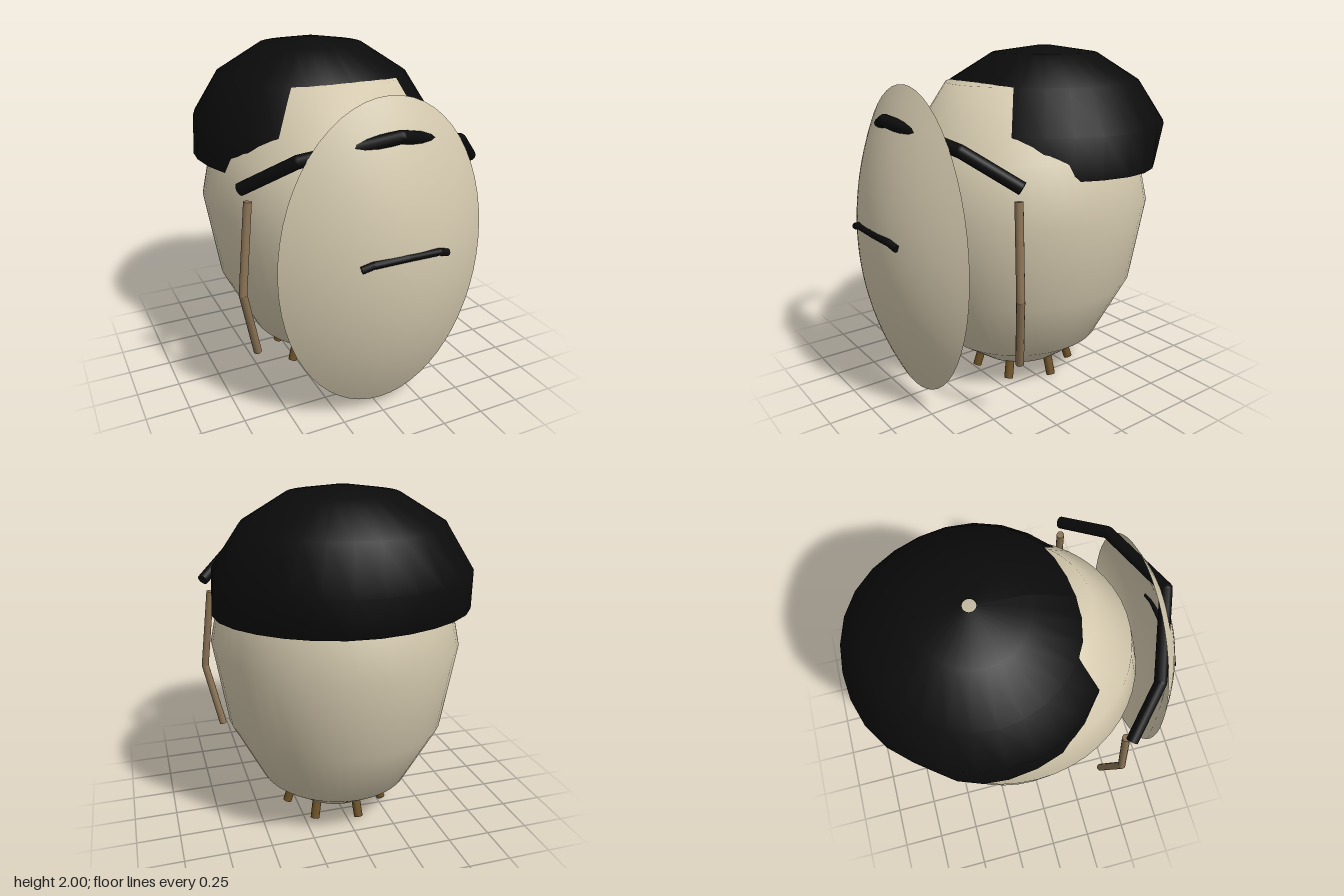
import * as THREE from 'three';

const V = (x, y, z) => new THREE.Vector3(x, y, z);

function mat(name, color) {
  const m = new THREE.MeshStandardMaterial({ color, side: THREE.DoubleSide });
  m.name = name;
  return m;
}

export function createModel() {
  const cream = mat('cream', 0xd4c9ae);
  const black = mat('black', 0x0b0b0b);
  const tan = mat('tan wood', 0x8a7355);
  const brown = mat('dark wood', 0x6b4f24);

  const model = new THREE.Group();
  model.name = 'maskedFigure';

  const add = (name, geometry, material, parent = model) => {
    const mesh = new THREE.Mesh(geometry, material);
    mesh.name = name;
    parent.add(mesh);
    return mesh;
  };
  const lathe = (pts, segments) =>
    new THREE.LatheGeometry(pts.map(([r, y]) => new THREE.Vector2(r, y)), segments);

  // Round rod between two points
  const rod = (name, a, b, radius, material, parent) => {
    const dir = b.clone().sub(a);
    const mesh = add(name, new THREE.CylinderGeometry(radius, radius, dir.length(), 12), material, parent);
    mesh.position.copy(a).add(b).multiplyScalar(0.5);
    mesh.quaternion.setFromUnitVectors(V(0, 1, 0), dir.normalize());
    return mesh;
  };

  // Bent rod: straight runs with a ball at every inner corner
  const bentRod = (name, pts, radius, material) => {
    const group = new THREE.Group();
    group.name = name;
    model.add(group);
    for (let i = 1; i < pts.length; i++) {
      rod(name + 'Run', pts[i - 1], pts[i], radius, material, group);
      if (i < pts.length - 1) {
        add(name + 'Joint', new THREE.SphereGeometry(radius, 12, 8), material, group).position.copy(pts[i]);
      }
    }
  };

  // Egg-shaped body, open underneath and slightly deeper than wide
  const body = add('body', lathe([
    [0.28, 0.1], [0.495, 0.25], [0.7, 0.62], [0.785, 1.1],
    [0.712, 1.42], [0.46, 1.8], [0.001, 1.87],
  ], 48), cream);
  body.scale.x = 0.925;
  body.position.z = -0.07;

  // Hair cap with a small crown hole, tucked in at the nape
  const hairGeo = lathe([[0.733, 1.33], [0.72, 1.56], [0.567, 1.8], [0.31, 1.96], [0.035, 2]], 28);
  const p = hairGeo.attributes.position;
  for (let i = 0; i < p.count; i++) {
    const x = p.getX(i), y = p.getY(i), z = p.getZ(i);
    const a = Math.atan2(x, z);
    const wave = y < 1.9 ? 1 + 0.008 * Math.sin(5 * a + 9 * y) : 1;
    const nape = y < 1.4 && z < 0 ? 0.84 : 1;
    p.setXYZ(i, x * wave, y, z * wave * nape);
  }
  hairGeo.computeVertexNormals();
  add('hair', hairGeo, black).position.z = -0.235;

  // Shallow oval mask, open at the back
  const maskPts = [];
  for (let i = 0; i <= 14; i++) {
    const t = 1 - i / 14;
    maskPts.push([Math.max(t, 0.001), 0.24 * (1 - t * t)]);
  }
  const maskGeo = lathe(maskPts, 56);
  maskGeo.rotateX(Math.PI / 2);
  maskGeo.scale(0.61, 0.875, 1);
  add('mask', maskGeo, cream).position.set(0, 0.945, 0.71);

  // Head band, breaking through the mask as the brow
  bentRod('browBand', [
    V(-0.7, 1.36, 0.455), V(-0.47, 1.53, 0.66), V(0, 1.64, 0.828),
    V(0.47, 1.53, 0.66), V(0.7, 1.36, 0.455),
  ], 0.035, black);

  // Mouth, half sunk into the mask
  bentRod('mouth', [
    V(-0.25, 1.02, 0.918), V(-0.19, 1.04, 0.93), V(0, 1.048, 0.942),
    V(0.19, 1.04, 0.93), V(0.25, 1.02, 0.918),
  ], 0.02, black);

  // Thin bent arms
  for (const [s, name] of [[1, 'leftArm'], [-1, 'rightArm']]) {
    bentRod(name, [
      V(s * 0.66, 1.285, 0.447), V(s * 0.717, 0.78, 0.477), V(s * 0.628, 0.375, 0.415),
    ], 0.023, tan);
  }

  // Seven splayed pegs hung from a ring inside the base
  const ring = add('legRing', new THREE.TorusGeometry(0.245, 0.016, 8, 40), brown);
  ring.rotation.x = Math.PI / 2;
  ring.position.set(0, 0.2, -0.07);
  for (let i = 0; i < 7; i++) {
    const a = (i / 7) * Math.PI * 2;
    const at = (r, y) => V(r * Math.cos(a), y, -0.07 + r * Math.sin(a));
    rod('leg', at(0.245, 0.2), at(0.308, 0.01), 0.027, brown, model);
  }

  return model;
}
